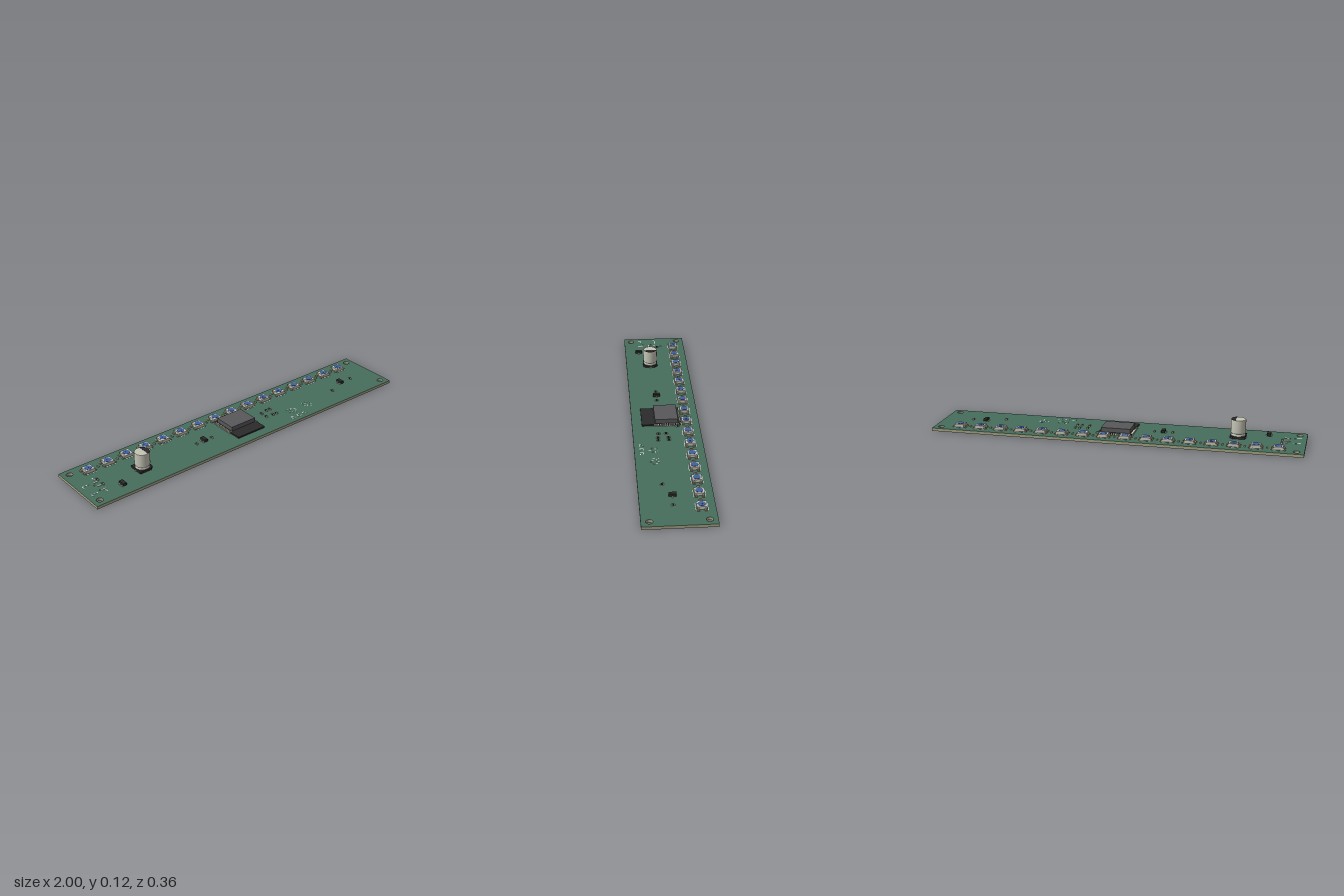
import * as THREE from 'three';

const mat = (name, color, side = THREE.FrontSide) => {
  const m = new THREE.MeshStandardMaterial({ color, side });
  m.name = name;
  return m;
};

export function createModel() {
  const M = {
    mask: mat('green solder mask', 0x466e5c),
    core: mat('tan board core', 0xa3a286),
    silver: mat('silver metal', 0xc4c4b6),
    black: mat('black plastic', 0x2b2b2b),
    shield: mat('dark grey shield', 0x58585a),
    blue: mat('blue lens', 0x3f62a8),
    white: mat('white print', 0xe4e6e2),
    copper: mat('copper pad', 0xb08a68),
  };
  const root = new THREE.Group();
  root.name = 'circuitBoard';
  const TOP = 0.016;

  const add = (parent, name, geo, material, x = 0, y = 0, z = 0) => {
    const mesh = new THREE.Mesh(geo, material);
    mesh.name = name;
    mesh.position.set(x, y, z);
    parent.add(mesh);
    return mesh;
  };
  // box given by its centre in x and z, and the height of its underside
  const box = (parent, name, material, x, z, y, w, h, d) =>
    add(parent, name, new THREE.BoxGeometry(w, h, d), material, x, y + h / 2, z);
  const group = (name, x, z) => {
    const g = new THREE.Group();
    g.name = name;
    g.position.set(x, TOP, z);
    root.add(g);
    return g;
  };

  // Board with mounting holes and a few tiny drilled holes
  const outline = new THREE.Shape();
  outline.moveTo(-1, -0.18).lineTo(1, -0.18).lineTo(1, 0.18).lineTo(-1, 0.18).closePath();
  const drill = (x, z, r) => {
    const hole = new THREE.Path();
    hole.absarc(x, -z, r, 0, Math.PI * 2, true);
    outline.holes.push(hole);
  };
  for (const x of [-0.96, 0.96]) for (const z of [-0.14, 0.14]) drill(x, z, 0.017);
  for (const z of [0.02, 0.07]) drill(-0.915, z, 0.004);
  const boardGeo = new THREE.ExtrudeGeometry(outline, { depth: TOP, bevelEnabled: false, curveSegments: 12 });
  boardGeo.rotateX(-Math.PI / 2);
  add(root, 'board', boardGeo, [M.mask, M.core]);

  // Row of sixteen lights, with a small capacitor beside each
  for (let i = 0; i < 16; i++) {
    const x = -0.867 + i * 0.115;
    const led = group('light', x, -0.112);
    box(led, 'lightBody', M.silver, 0, 0, 0.002, 0.05, 0.016, 0.05);
    add(led, 'lightLens', new THREE.CylinderGeometry(0.019, 0.019, 0.002, 20), M.blue, 0, 0.0185, 0);
    box(led, 'lightDie', M.shield, 0, 0, 0.019, 0.008, 0.001, 0.01);
    for (const sx of [-1, 1]) for (const sz of [-1, 1]) {
      box(led, 'lightPad', M.copper, sx * 0.028, sz * 0.017, 0, 0.018, 0.004, 0.012);
      box(led, 'lightLeg', M.silver, sx * 0.027, sz * 0.017, 0.004, 0.008, 0.006, 0.009);
    }
    for (const sz of [-1, 1])
      box(led, 'lightPrint', M.white, 0, sz * 0.029, 0, 0.06, 0.0008, 0.003);
    if (i < 15) {
      box(led, 'bypassCapacitor', M.copper, 0.0575, 0, 0, 0.007, 0.007, 0.006);
      for (const sz of [-1, 1]) box(led, 'bypassEnd', M.silver, 0.0575, sz * 0.005, 0, 0.007, 0.007, 0.004);
    }
  }

  // Wireless module: carrier, shield can and edge contacts
  const module = group('wirelessModule', 0, 0.024);
  box(module, 'carrier', M.black, 0, 0, 0.002, 0.18, 0.008, 0.207);
  box(module, 'shieldCan', M.shield, 0, -0.028, 0.01, 0.16, 0.024, 0.123);
  for (let i = 0; i < 14; i++) {
    const z = -0.09 + i * 0.0095;
    for (const s of [-1, 1]) box(module, 'sideContact', M.silver, s * 0.09, z, 0, 0.01, 0.0105, 0.005);
  }
  for (let i = 0; i < 10; i++)
    box(module, 'rearContact', M.silver, -0.054 + i * 0.012, -0.103, 0, 0.006, 0.0105, 0.008);

  // Electrolytic capacitor: base, turned can and dark polarity mark
  const cap = group('canCapacitor', -0.642, 0.04);
  const base = new THREE.Shape();
  base.moveTo(-0.041, -0.041).lineTo(0.026, -0.041).lineTo(0.041, -0.026)
    .lineTo(0.041, 0.026).lineTo(0.026, 0.041).lineTo(-0.041, 0.041).closePath();
  const baseGeo = new THREE.ExtrudeGeometry(base, { depth: 0.012, bevelEnabled: false });
  baseGeo.rotateX(-Math.PI / 2);
  add(cap, 'canBase', baseGeo, M.black, 0, 0.001, 0);
  const profile = [[0.038, 0.013], [0.039, 0.02], [0.036, 0.023], [0.036, 0.026], [0.039, 0.029],
    [0.04, 0.032], [0.04, 0.097], [0.038, 0.1]].map(([r, y]) => new THREE.Vector2(r, y));
  add(cap, 'can', new THREE.LatheGeometry(profile, 32), M.silver);
  add(cap, 'canTop', new THREE.CylinderGeometry(0.038, 0.038, 0.001, 32), M.silver, 0, 0.0995, 0);
  const mark = new THREE.Shape();
  mark.absarc(0, 0, 0.0385, -1.25, 1.25, false);
  mark.closePath();
  const markGeo = new THREE.ExtrudeGeometry(mark, { depth: 0.002, bevelEnabled: false });
  markGeo.rotateX(-Math.PI / 2);
  add(cap, 'polarityMark', markGeo, M.black, 0, 0.0992, 0);
  for (const s of [-1, 1]) box(cap, 'canLead', M.silver, s * 0.041, 0, 0, 0.012, 0.003, 0.01);

  // Three-legged chips
  for (const [x, z] of [[-0.8, 0.1], [-0.243, 0.028], [0.757, 0.017]]) {
    const chip = group('smallChip', x, z);
    box(chip, 'chipBody', M.black, 0, 0, 0.003, 0.02, 0.014, 0.038);
    for (const [sx, oz] of [[-1, -0.011], [-1, 0.011], [1, 0]])
      box(chip, 'chipLeg', M.silver, sx * 0.012, oz, 0, 0.008, 0.006, 0.007);
  }

  // Tiny resistors with metal ends
  const resistors = [[-0.293, 0.03], [-0.193, 0.03], [0.655, 0.06], [0.835, 0.02], [0.172, 0.005],
    [0.172, 0.045], [0.215, -0.005], [0.24, -0.005], [0.215, 0.05], [0.24, 0.05], [-0.875, 0.035],
    [-0.875, -0.015], [0.1, -0.062]];
  for (const [x, z] of resistors) {
    const r = group('resistor', x, z);
    box(r, 'resistorBody', M.black, 0, 0, 0, 0.009, 0.007, 0.009);
    for (const s of [-1, 1]) box(r, 'resistorEnd', M.silver, 0, s * 0.007, 0, 0.009, 0.007, 0.005);
  }

  // Connector pads at the left end
  for (const z of [0, 0.035, 0.075])
    box(root, 'connectorPad', M.silver, -0.895, z, TOP, 0.022, 0.002, 0.007);

  // Printed marks: rings, outlines and short dashes
  const dash = (x, z, w, d) => box(root, 'printedMark', M.white, x, z, TOP, w, 0.0008, d);
  for (const z of [-0.005, 0.08]) {
    dash(-0.95, z, 0.035, 0.004);
    dash(-0.968, z + 0.008, 0.004, 0.016);
  }
  dash(-0.89, -0.03, 0.004, 0.03);
  dash(-0.89, 0.09, 0.004, 0.02);
  for (let i = 0; i < 3; i++) {
    const x = 0.283 + i * 0.041;
    dash(x, 0.133, 0.018, 0.004);
    dash(x - 0.008, 0.143, 0.004, 0.018);
    dash(x + 0.006, 0.15, 0.01, 0.004);
  }
  for (const x of [0.33, 0.44]) {
    for (let i = 0; i < 4; i++) {
      dash(x - 0.022 + i * 0.015, 0.06 + (i % 2) * 0.012, 0.009, 0.004);
      dash(x - 0.022 + i * 0.015, 0.085 + (i % 3) * 0.008, 0.004, 0.012);
    }
  }
  return root;
}
